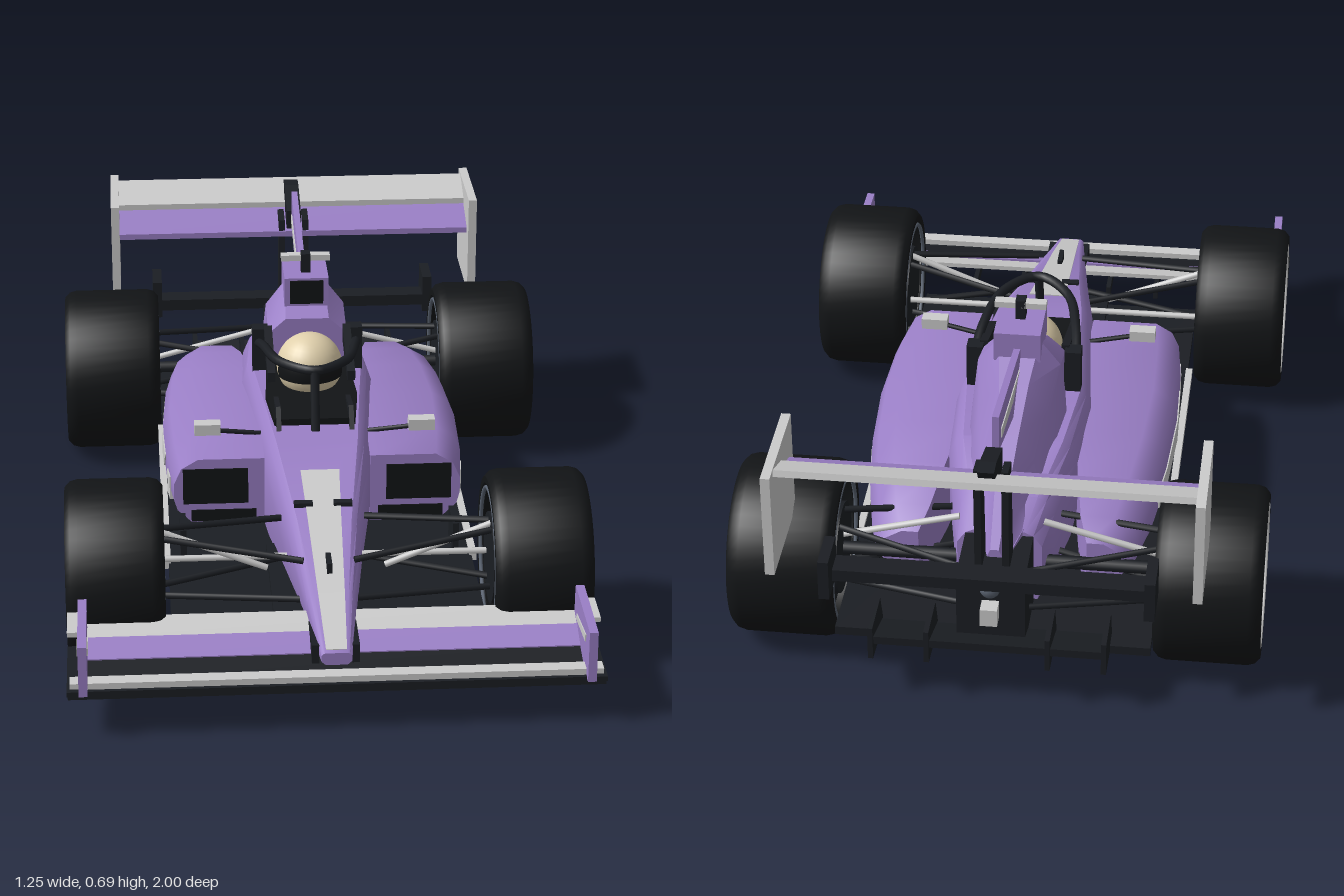
import * as THREE from 'three';
import { toCreasedNormals } from 'three/addons/utils/BufferGeometryUtils.js';

const mat = (color) => new THREE.MeshStandardMaterial({ color, side: THREE.DoubleSide });
const purple = mat(0x9a7fc6), dark = mat(0x1b1e23), black = mat(0x121416), grey = mat(0xcccccc);
const rimGrey = mat(0x5b6472), tan = mat(0xe0d0ac);

export function createModel() {
  const car = new THREE.Group();
  car.name = 'racingCar';

  const add = (name, geo, m, parent = car) => {
    const mesh = new THREE.Mesh(geo, m);
    mesh.name = name;
    parent.add(mesh);
    return mesh;
  };
  // Box given by its limits on each axis
  const box = (name, m, x0, x1, y0, y1, z0, z1) => {
    const b = add(name, new THREE.BoxGeometry(Math.abs(x1 - x0), y1 - y0, Math.abs(z1 - z0)), m);
    b.position.set((x0 + x1) / 2, (y0 + y1) / 2, (z0 + z1) / 2);
    return b;
  };
  // Round rod between two points
  const rod = (name, m, a, b, r = 0.008) => {
    const p = new THREE.Vector3(...a), q = new THREE.Vector3(...b), d = q.clone().sub(p);
    const c = add(name, new THREE.CylinderGeometry(r, r, d.length(), 8), m);
    c.position.copy(p).add(q).multiplyScalar(0.5);
    c.quaternion.setFromUnitVectors(new THREE.Vector3(0, 1, 0), d.normalize());
  };
  // Upright plate from a [z, y] outline, centred on x
  const plate = (name, m, outline, x, t) => {
    const shape = new THREE.Shape(outline.map(([z, y]) => new THREE.Vector2(-z, y)));
    const g = new THREE.ExtrudeGeometry(shape, { depth: t, bevelEnabled: false });
    g.rotateY(Math.PI / 2).translate(x - t / 2, 0, 0);
    return add(name, g, m);
  };
  // Skin over cross-sections [z, [[x, y], ...]] from front to back, counter-clockwise from the front
  const loft = (name, m, sections, crease = 0.55) => {
    const n = sections[0][1].length, pos = [], idx = [], last = (sections.length - 1) * n;
    for (const [z, ring] of sections) for (const [x, y] of ring) pos.push(x, y, z);
    for (let s = 0; s < sections.length - 1; s++) for (let i = 0; i < n; i++) {
      const a = s * n + i, b = s * n + (i + 1) % n;
      idx.push(a, a + n, b, b, a + n, b + n);
    }
    for (let i = 1; i < n - 1; i++) idx.push(0, i, i + 1, last, last + i + 1, last + i);
    const g = new THREE.BufferGeometry();
    g.setAttribute('position', new THREE.Float32BufferAttribute(pos, 3));
    g.setIndex(idx);
    return add(name, toCreasedNormals(g, crease), m);
  };
  // Complete a right-hand half outline, listed bottom to top
  const mirror = (half) => [...half, ...half.map(([x, y]) => [-x, y]).reverse()];
  const both = (fn) => [1, -1].forEach(fn);

  // Nose and tub: z, bottom half width, widest, top half width, bottom y, top y
  const tub = [
    [0.93, 0.025, 0.035, 0.025, 0.14, 0.17], [0.75, 0.045, 0.057, 0.04, 0.135, 0.228],
    [0.5, 0.08, 0.09, 0.065, 0.13, 0.3], [0.22, 0.12, 0.132, 0.1, 0.125, 0.378],
    [0, 0.14, 0.152, 0.12, 0.125, 0.392], [-0.2, 0.15, 0.168, 0.14, 0.125, 0.405],
    [-0.42, 0.14, 0.155, 0.12, 0.125, 0.4], [-0.6, 0.11, 0.12, 0.08, 0.125, 0.36], [-0.69, 0.09, 0.1, 0.06, 0.13, 0.32]];
  loft('noseAndTub', purple, tub.map(([z, b, w, t, y0, y1]) => [z, mirror(
    [[b, y0], [w, y0 + (y1 - y0) * 0.3], [w, y0 + (y1 - y0) * 0.8], [w * 0.5 + t * 0.5, y0 + (y1 - y0) * 0.95], [t, y1]])]));
  // Pale stripe along the nose top
  loft('noseStripe', grey, [[0.92, 0.024, 0.175], [0.75, 0.031, 0.231], [0.5, 0.04, 0.303], [0.33, 0.047, 0.35]]
    .map(([z, w, y]) => [z, mirror([[w, y - 0.015], [w, y]])]));
  box('noseSensor', dark, -0.006, 0.006, 0.25, 0.275, 0.63, 0.69);
  both((s) => box('noseBracket', dark, s * 0.025, s * 0.07, 0.305, 0.322, 0.44, 0.46));

  // Engine cover: z, bottom half width, shoulder, top half width, shoulder y, top y
  loft('engineCover', purple, [
    [-0.17, 0.1, 0.1, 0.055, 0.5, 0.54], [-0.29, 0.115, 0.1, 0.05, 0.535, 0.6], [-0.4, 0.11, 0.085, 0.035, 0.47, 0.54],
    [-0.52, 0.095, 0.065, 0.025, 0.41, 0.475], [-0.65, 0.065, 0.04, 0.016, 0.35, 0.4], [-0.78, 0.03, 0.022, 0.01, 0.3, 0.33],
  ].map(([z, b, w, t, ym, y1]) => [z, mirror([[b, 0.22], [b, 0.38 * 0.5 + ym * 0.4], [w, ym], [t, y1]])]));
  plate('engineFin', purple, [[-0.28, 0.59], [-0.745, 0.675], [-0.745, 0.585], [-0.45, 0.49], [-0.32, 0.5]], 0, 0.016);
  plate('finStripe', grey, [[-0.36, 0.56], [-0.71, 0.622], [-0.71, 0.597], [-0.5, 0.555]], 0, 0.021);
  // Air intake and roof camera
  box('airIntake', purple, -0.056, 0.056, 0.565, 0.64, -0.335, -0.195);
  box('intakeMouth', black, -0.042, 0.042, 0.572, 0.634, -0.25, -0.191);
  box('cameraStalk', dark, -0.012, 0.012, 0.63, 0.69, -0.265, -0.235);
  box('cameraPod', grey, -0.062, 0.062, 0.67, 0.685, -0.265, -0.24);

  // Cockpit, driver and safety hoop
  loft('cockpitOpening', black, [[0.14, 0.1, 0.4], [0, 0.115, 0.405], [-0.17, 0.105, 0.415]]
    .map(([z, w, y]) => [z, mirror([[w, 0.34], [w, y]])]));
  const helmet = add('helmet', new THREE.SphereGeometry(0.083, 28, 20), tan);
  helmet.position.set(0, 0.452, -0.08);
  const visor = add('visor', new THREE.SphereGeometry(0.086, 24, 6, 0.35, Math.PI - 0.7, 1.38, 0.42), black);
  visor.position.copy(helmet.position);
  const hoop = new THREE.CatmullRomCurve3([[-0.125, 0.47, -0.19], [-0.115, 0.505, -0.08], [-0.08, 0.52, 0.06], [0, 0.525, 0.13],
    [0.08, 0.52, 0.06], [0.115, 0.505, -0.08], [0.125, 0.47, -0.19]].map((p) => new THREE.Vector3(...p)));
  add('safetyHoop', new THREE.TubeGeometry(hoop, 40, 0.012, 8), dark);
  rod('hoopPost', dark, [0, 0.525, 0.13], [0, 0.38, 0.17], 0.011);
  both((s) => {
    box('hoopFoot', dark, s * 0.1, s * 0.14, 0.4, 0.515, -0.205, -0.165);
    plate('headPad', dark, [[0, 0.44], [0, 0.465], [-0.18, 0.52], [-0.18, 0.48]], s * 0.1, 0.02);
    plate('windscreenSide', dark, [[0.17, 0.38], [0.13, 0.43], [0.02, 0.41], [0.02, 0.38]], s * 0.09, 0.012);
  });

  // Side pods: z, inner x, outer x, bottom y, top y
  const pod = [[0.235, 0.13, 0.352, 0.165, 0.34], [0.1, 0.13, 0.366, 0.152, 0.352], [-0.1, 0.13, 0.372, 0.145, 0.358],
    [-0.3, 0.14, 0.362, 0.14, 0.352], [-0.45, 0.16, 0.345, 0.14, 0.335], [-0.58, 0.18, 0.32, 0.145, 0.3], [-0.64, 0.2, 0.3, 0.15, 0.265]];
  const podOuter = (z) => {
    const i = Math.max(1, pod.findIndex((k) => k[0] <= z)), [a, b] = [pod[i - 1], pod[i]];
    return THREE.MathUtils.lerp(a[2], b[2], (a[0] - z) / (a[0] - b[0]));
  };
  const side = (s, ring) => (s > 0 ? ring : ring.map(([x, y]) => [-x, y]).reverse());
  both((s) => {
    loft('sidePod', purple, pod.map(([z, a, b, y0, y1]) => [z, side(s,
      [[a, y0], [b - 0.05, y0], [b - 0.008, y0 + 0.04], [b, y0 + 0.07], [b, y1 - 0.065], [b - 0.018, y1 - 0.025], [b - 0.06, y1], [a, y1]])]), 0.7);
    box('podInlet', black, s * 0.17, s * 0.33, 0.222, 0.315, 0.2, 0.238);
    box('podLowerInlet', black, s * 0.15, s * 0.31, 0.175, 0.205, 0.2, 0.238);
    const stripe = (name, rows) => loft(name, grey, rows.map(([z, y0, y1]) => [z, side(s,
      [[podOuter(z) - 0.012, y0], [podOuter(z) + 0.003, y0], [podOuter(z) + 0.003, y1], [podOuter(z) - 0.012, y1]])]));
    stripe('podStripe', [[0.04, 0.262, 0.267], [-0.02, 0.21, 0.267], [-0.1, 0.21, 0.267], [-0.3, 0.21, 0.262], [-0.4, 0.21, 0.258]]);
    stripe('podFlash', [[0.17, 0.205, 0.265], [0.125, 0.205, 0.265], [0.118, 0.26, 0.265]]);
    // Mirrors
    box('mirror', grey, s * 0.233, s * 0.298, 0.362, 0.39, 0.108, 0.142);
    rod('mirrorStalk', dark, [s * 0.24, 0.368, 0.125], [s * 0.12, 0.35, 0.11], 0.006);
  });

  // Floor with pale edges and keel strips
  box('floor', dark, -0.37, 0.37, 0.1, 0.122, 0.67, -0.84);
  box('floorNoseKeel', dark, -0.13, 0.13, 0.1, 0.14, 0.685, 0.3);
  both((s) => {
    box('floorEdge', grey, s * 0.365, s * 0.382, 0.108, 0.13, 0.36, -0.45);
    box('bargeBoard', dark, s * 0.325, s * 0.34, 0.12, 0.2, 0.34, 0.24);
    [0.12, 0.25].forEach((x) => box('wingFence', dark, s * (x - 0.006), s * (x + 0.006), 0.083, 0.11, 0.78, 0.9));
  });

  // Front wing
  box('frontWingBase', dark, -0.61, 0.61, 0.1, 0.12, 0.86, 0.985);
  box('frontWingLip', grey, -0.605, 0.605, 0.118, 0.135, 0.94, 0.975);
  const wingPlane = (name, m, w, pts) => plate(name, m, pts, 0, 2 * w);
  wingPlane('frontWingMain', dark, 0.57, [[0.94, 0.118], [0.86, 0.14], [0.86, 0.125], [0.94, 0.105]]);
  wingPlane('frontWingMiddle', purple, 0.57, [[0.87, 0.14], [0.81, 0.165], [0.81, 0.152], [0.87, 0.125]]);
  wingPlane('frontWingFlap', grey, 0.57, [[0.805, 0.162], [0.74, 0.182], [0.74, 0.17], [0.805, 0.15]]);
  both((s) => {
    plate('frontEndplate', purple, [[1, 0.115], [1, 0.24], [0.77, 0.243], [0.75, 0.115]], s * 0.575, 0.02);
    plate('endplateStripe', grey, [[0.95, 0.192], [0.95, 0.21], [0.81, 0.19], [0.81, 0.176]], s * 0.575, 0.025);
    box('endplateFoot', dark, s * 0.57, s * 0.612, 0.11, 0.122, 0.77, 0.99);
    box('endplateFin', grey, s * 0.58, s * 0.61, 0.198, 0.21, 0.77, 0.87);
    box('wingPillar', dark, s * 0.038, s * 0.055, 0.12, 0.175, 0.78, 0.9);
  });

  // Rear wing and its supports
  wingPlane('rearWingMain', purple, 0.475, [[-0.775, 0.535], [-0.775, 0.55], [-0.87, 0.588], [-0.88, 0.575]]);
  wingPlane('rearWingFlap', grey, 0.475, [[-0.865, 0.587], [-0.865, 0.602], [-0.96, 0.64], [-0.965, 0.625]]);
  both((s) => {
    box('rearEndplate', grey, s * 0.472, s * 0.494, 0.38, 0.642, -0.735, -1);
    plate('wingPylon', dark, [[-0.75, 0.28], [-0.78, 0.58], [-0.84, 0.59], [-0.83, 0.28]], s * 0.032, 0.016);
    box('beamEnd', dark, s * 0.36, s * 0.385, 0.28, 0.382, -0.84, -0.945);
  });
  plate('flapActuator', dark, [[-0.77, 0.56], [-0.77, 0.61], [-0.88, 0.645], [-0.925, 0.645], [-0.87, 0.56]], 0, 0.038);
  box('beamWing', dark, -0.37, 0.37, 0.3, 0.33, -0.84, -0.9);
  box('gearbox', dark, -0.08, 0.08, 0.12, 0.31, -0.62, -0.86);
  wingPlane('diffuser', dark, 0.27, [[-0.8, 0.1], [-0.8, 0.125], [-0.93, 0.17], [-0.93, 0.15]]);
  [-0.27, -0.14, 0.14, 0.27].forEach((x) => plate('diffuserFin', dark, [[-0.78, 0.1], [-0.82, 0.2], [-0.94, 0.2], [-0.94, 0.115]], x, 0.012));
  box('rearLight', grey, -0.02, 0.02, 0.2, 0.245, -0.86, -0.9);
  const exhaust = add('exhaust', new THREE.SphereGeometry(0.025, 14, 10), rimGrey);
  exhaust.position.set(0, 0.285, -0.865);

  // Wheels: axle along x, outer face toward +x
  const wheel = (name, h, R) => {
    const g = new THREE.Group();
    g.name = name;
    const part = (n, geo, m) => add(n, geo.rotateZ(-Math.PI / 2), m, g);
    const profile = [[0.165, -h + 0.01], [0.178, -h], [R - 0.018, -h], [R - 0.005, -h + 0.012], [R, -h + 0.03],
      [R, h - 0.03], [R - 0.005, h - 0.012], [R - 0.018, h], [0.178, h], [0.165, h - 0.01], [0.158, h - 0.03]];
    part('tyre', toCreasedNormals(new THREE.LatheGeometry(profile.map((p) => new THREE.Vector2(...p)), 48), 0.6), black);
    part('rimBarrel', new THREE.CylinderGeometry(0.165, 0.165, 2 * h - 0.06, 40), dark);
    for (const [x, m] of [[h - 0.004, grey], [-h + 0.004, rimGrey]])
      add('rimRing', new THREE.TorusGeometry(0.168, 0.005, 6, 48).rotateY(Math.PI / 2).translate(x, 0, 0), m, g);
    for (let i = 0; i < 10; i++) {
      const spoke = new THREE.BoxGeometry(0.016, 0.125, 0.03).translate(h - 0.026, 0.09, 0).rotateX((i * Math.PI) / 5);
      add('spoke', spoke, rimGrey, g);
    }
    part('hub', new THREE.CylinderGeometry(0.03, 0.036, 0.03, 20).translate(0, h - 0.022, 0), rimGrey);
    part('brakeDrum', new THREE.CylinderGeometry(0.11, 0.11, 0.03, 28).translate(0, -h + 0.02, 0), dark);
    car.add(g);
    return g;
  };
  both((s) => {
    for (const [name, x, z, h] of [['frontWheel', 0.498, 0.555, 0.115], ['rearWheel', 0.498, -0.648, 0.125]]) {
      const w = wheel(name, h, 0.212);
      w.position.set(s * x, 0.213, z);
      if (s < 0) w.rotation.y = Math.PI;
    }
    // Suspension arms
    rod('frontPushrod', grey, [s * 0.14, 0.205, 0.56], [s * 0.4, 0.31, 0.56], 0.008);
    rod('frontTrackRod', grey, [s * 0.08, 0.205, 0.5], [s * 0.4, 0.205, 0.5], 0.008);
    rod('rearPushrod', grey, [s * 0.1, 0.32, -0.64], [s * 0.4, 0.24, -0.64], 0.008);
    for (const [z0, z1] of [[0.42, 0.53], [0.66, 0.58], [-0.52, -0.62], [-0.78, -0.68]]) {
      rod('upperArm', dark, [s * 0.06, 0.27, z0], [s * 0.4, 0.3, z1]);
      rod('lowerArm', dark, [s * 0.06, 0.17, z0], [s * 0.4, 0.15, z1]);
    }
    rod('driveShaft', dark, [s * 0.06, 0.213, -0.648], [s * 0.4, 0.213, -0.648], 0.016);
  });
  return car;
}
